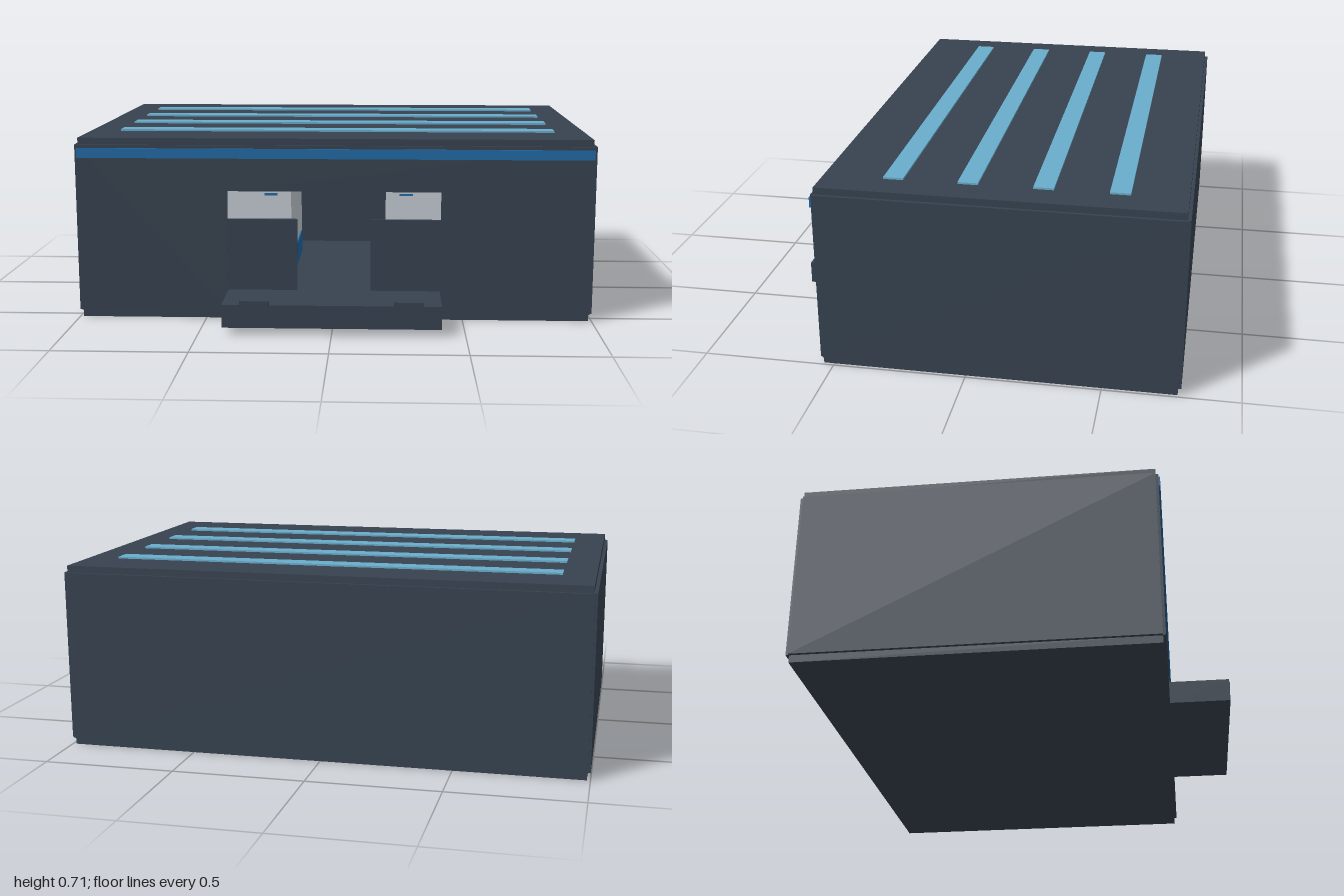
import * as THREE from 'three';

const mat = (name, color) => {
  const m = new THREE.MeshStandardMaterial({ color });
  m.name = name;
  return m;
};

export function createModel() {
  const slate = mat('slate', 0x36424f);
  const blue = mat('blue', 0x1f69a5);
  const sky = mat('skylightBlue', 0x6aadcc);
  const pale = mat('paleGrey', 0xc3cbd3);

  const model = new THREE.Group();
  model.name = 'hall';

  // Box given by its lower and upper limits on each axis
  const box = (name, material, [x0, x1], [y0, y1], [z0, z1]) => {
    const mesh = new THREE.Mesh(new THREE.BoxGeometry(x1 - x0, y1 - y0, z1 - z0), material);
    mesh.position.set((x0 + x1) / 2, (y0 + y1) / 2, (z0 + z1) / 2);
    mesh.name = name;
    model.add(mesh);
    return mesh;
  };
  // Same box on the left (+x) and mirrored on the right
  const pair = (name, material, [x0, x1], y, z) => {
    box(name + 'Left', material, [x0, x1], y, z);
    box(name + 'Right', material, [-x1, -x0], y, z);
  };

  // Floor and roof slabs, slightly set in from the walls
  box('floorSlab', slate, [-0.987, 0.987], [0, 0.03], [-0.773, 0.54]);
  box('roofSlab', slate, [-0.987, 0.987], [0.68, 0.708], [-0.773, 0.54]);

  // Side and back walls, notched at the corners
  pair('sideWall', slate, [0.985, 1], [0.028, 0.682], [-0.773, 0.54]);
  box('backWall', slate, [-0.99, 0.99], [0.028, 0.682], [-0.785, -0.77]);

  // Front wall with the entrance cut out
  const face = new THREE.Shape();
  face.moveTo(-0.99, 0.028).lineTo(-0.412, 0.028).lineTo(-0.412, 0.505).lineTo(0.412, 0.505);
  face.lineTo(0.412, 0.028).lineTo(0.99, 0.028).lineTo(0.99, 0.682).lineTo(-0.99, 0.682);
  const front = new THREE.Mesh(
    new THREE.ExtrudeGeometry(face, { depth: 0.015, bevelEnabled: false }), slate);
  front.position.z = 0.535;
  front.name = 'frontWall';
  model.add(front);

  // Painted band under the eaves
  box('frontBand', blue, [-0.99, 0.99], [0.632, 0.67], [0.549, 0.556]);

  // Roof light strips
  [0.28, 0.008, -0.264, -0.534].forEach((z, i) =>
    box('roofStrip' + (i + 1), sky, [-0.866, 0.866], [0.706, 0.715], [z - 0.037, z + 0.037]));

  // Half-height entrance gates
  pair('gate', slate, [0.142, 0.412], [0.03, 0.396], [0.535, 0.549]);

  // Loading platform with stop blocks
  box('platform', slate, [-0.41, 0.41], [0.028, 0.116], [0.54, 0.78]);
  pair('stopBlock', slate, [0.232, 0.343], [0.11, 0.132], [0.763, 0.785]);

  // Cabinets inside with blue panels
  pair('cabinet', pale, [0.2, 0.75], [0.03, 0.465], [-0.55, 0.09]);
  pair('cabinetLowerPanel', blue, [0.24, 0.47], [0.04, 0.115], [0.088, 0.095]);
  pair('cabinetUpperPanel', blue, [0.54, 0.66], [0.12, 0.2], [0.088, 0.095]);
  pair('cabinetSidePanel', blue, [0.195, 0.202], [0.04, 0.14], [-0.5, -0.08]);
  pair('cabinetLabel', blue, [0.258, 0.313], [0.41, 0.419], [0.088, 0.095]);

  return model;
}
